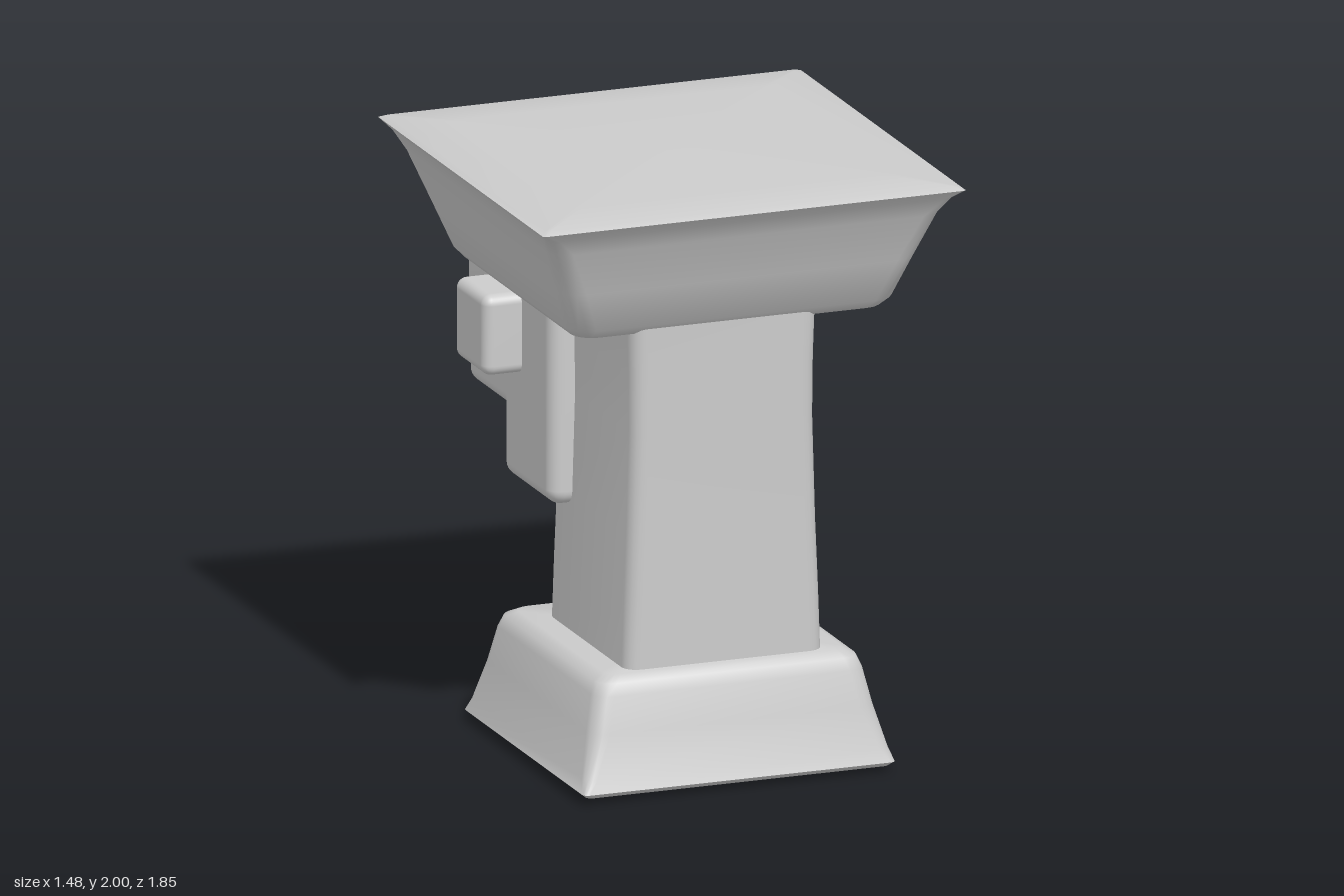
import * as THREE from 'three';
import { mergeVertices, toCreasedNormals } from 'three/addons/utils/BufferGeometryUtils.js';
import { RoundedBoxGeometry } from 'three/addons/geometries/RoundedBoxGeometry.js';

const material = new THREE.MeshStandardMaterial({ color: 0xcccccc });

// Stack of rounded rectangles; each level is [y, halfX, halfZ, cornerRadius]
function loft(name, cx, cz, levels, crease = 0.6) {
  const pos = [], index = [], arc = 4, n = 4 * (arc + 1);
  for (const [y, hx, hz, r] of levels) {
    for (let c = 0; c < 4; c++) {
      const sx = c === 0 || c === 3 ? 1 : -1, sz = c < 2 ? 1 : -1;
      for (let i = 0; i <= arc; i++) {
        const a = (c + i / arc) * Math.PI / 2;
        pos.push(cx + sx * (hx - r) + r * Math.cos(a), y, cz + sz * (hz - r) + r * Math.sin(a));
      }
    }
  }
  for (let l = 0; l < levels.length - 1; l++) {
    for (let i = 0; i < n; i++) {
      const a = l * n + i, b = l * n + (i + 1) % n;
      index.push(a, a + n, b, b, a + n, b + n);
    }
  }
  // End caps
  const last = (levels.length - 1) * n, low = levels.length * n;
  pos.push(cx, levels[0][0], cz, cx, levels[levels.length - 1][0], cz);
  for (let i = 0; i < n; i++) {
    const j = (i + 1) % n;
    index.push(low, i, j, low + 1, last + j, last + i);
  }
  const g = new THREE.BufferGeometry();
  g.setAttribute('position', new THREE.Float32BufferAttribute(pos, 3));
  g.setIndex(index);
  const mesh = new THREE.Mesh(toCreasedNormals(g, crease), material);
  mesh.name = name;
  return mesh;
}

// Soft block between two corners, optionally reshaped by a rule on each vertex
function block(name, min, max, radius, warp) {
  const s = max.map((v, i) => v - min[i]);
  let g = new RoundedBoxGeometry(s[0], s[1], s[2], 4, radius);
  g.translate(...min.map((v, i) => v + s[i] / 2));
  if (warp) {
    const p = g.attributes.position, v = new THREE.Vector3();
    for (let i = 0; i < p.count; i++) {
      warp(v.fromBufferAttribute(p, i));
      p.setXYZ(i, v.x, v.y, v.z);
    }
  }
  g.deleteAttribute('normal');
  g.deleteAttribute('uv');
  g = mergeVertices(g, 1e-4);
  g.computeVertexNormals();
  const mesh = new THREE.Mesh(g, material);
  mesh.name = name;
  return mesh;
}

export function createModel() {
  const model = new THREE.Group();
  model.name = 'birdHeadPillar';

  // Flared foot
  model.add(loft('base', -0.04, 0.335, [
    [0, 0.42, 0.42, 0.02], [0.02, 0.53, 0.53, 0.02], [0.035, 0.548, 0.545, 0.02],
    [0.08, 0.535, 0.53, 0.04], [0.22, 0.5, 0.498, 0.06], [0.34, 0.474, 0.472, 0.06],
    [0.38, 0.458, 0.458, 0.06], [0.4, 0.42, 0.42, 0.05]], 0.9));

  // Square shaft, slightly waisted
  model.add(loft('column', -0.035, 0.378, [
    [0.36, 0.348, 0.358, 0.05], [0.6, 0.34, 0.357, 0.05], [0.85, 0.33, 0.355, 0.05],
    [1.2, 0.32, 0.355, 0.05], [1.4, 0.322, 0.356, 0.05], [1.58, 0.328, 0.358, 0.05]]));

  // Wide flaring top
  model.add(loft('capital', -0.005, 0.175, [
    [1.535, 0.5, 0.51, 0.06], [1.543, 0.54, 0.545, 0.07], [1.575, 0.57, 0.578, 0.08],
    [1.72, 0.625, 0.632, 0.08], [1.88, 0.685, 0.69, 0.07], [1.94, 0.715, 0.72, 0.04],
    [1.97, 0.742, 0.747, 0.01], [1.98, 0.72, 0.725, 0.01], [1.99, 0.55, 0.55, 0.02],
    [2, 0.1, 0.1, 0.02]], 0.7));

  // Head wrapped round the back of the shaft
  model.add(block('head', [-0.44, 0.815, -0.24], [0.38, 1.6, 0.2], 0.05));

  // Eyes
  model.add(block('rightEye', [-0.572, 1.2, -0.335], [-0.3, 1.475, -0.06], 0.035));
  model.add(block('leftEye', [0.25, 1.2, -0.335], [0.522, 1.475, -0.06], 0.035));

  // Beak: the upper half slopes down towards its tip
  model.add(block('upperBeak', [-0.305, 1.225, -0.93], [0.225, 1.56, -0.15], 0.055, v => {
    const t = (-0.15 - v.z) / 0.78;
    v.y = 1.225 + (v.y - 1.225) * (1 - 0.52 * t);
  }));
  model.add(block('lowerBeak', [-0.3, 0.932, -0.92], [0.22, 1.148, -0.15], 0.05));

  return model;
}
